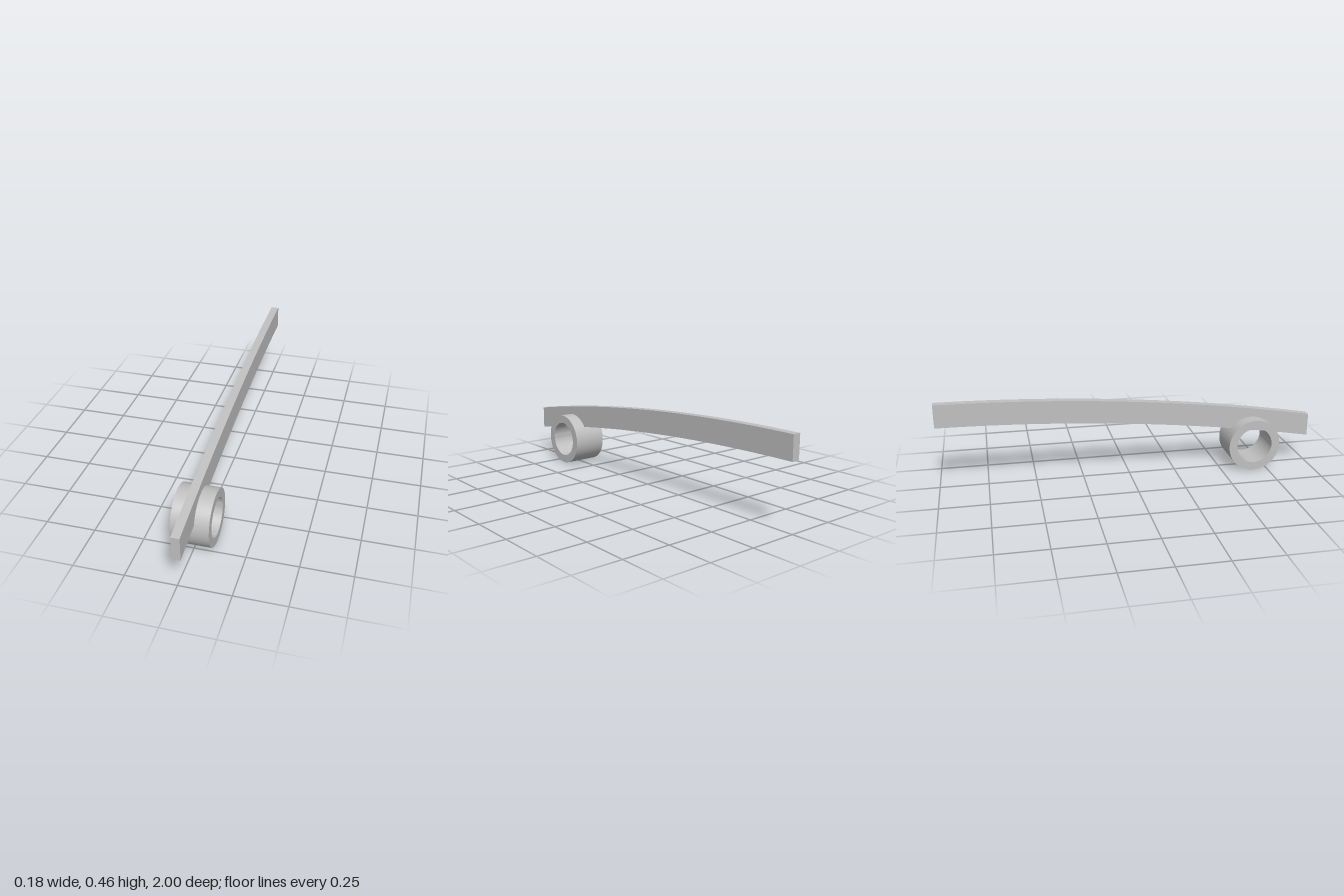
import * as THREE from 'three';
import { toCreasedNormals } from 'three/addons/utils/BufferGeometryUtils.js';

export function createModel() {
  const model = new THREE.Group();
  const grey = new THREE.MeshStandardMaterial({ color: 0xc0c0c0 });
  grey.name = 'plain grey';

  const add = (name, geometry) => {
    const mesh = new THREE.Mesh(toCreasedNormals(geometry, 0.5), grey);
    mesh.name = name;
    model.add(mesh);
    return mesh;
  };

  // Curved flat arm: level at the back, sloping down to the front
  const width = 0.042, height = 0.122, steps = 32;
  const top = z => 0.456 - 0.0455 * (z + 1) ** 2;
  const upper = [], lower = [];
  for (let i = 0; i <= steps; i++) {
    const z = -1 + (2 * i) / steps;
    upper.unshift(new THREE.Vector2(z, top(z)));
    lower.push(new THREE.Vector2(z, top(z) - height));
  }
  const arm = new THREE.ExtrudeGeometry(new THREE.Shape([...lower, ...upper]), {
    depth: width, bevelEnabled: false,
  });
  arm.rotateY(-Math.PI / 2).translate(width / 2, 0, 0);
  add('arm', arm);

  // Hollow sleeve crossing under the arm
  const outer = 0.141, inner = 0.097, half = 0.092;
  const profile = [[inner, -half], [outer, -half], [outer, half], [inner, half], [inner, -half]]
    .map(([r, y]) => new THREE.Vector2(r, y));
  const sleeve = new THREE.LatheGeometry(profile, 64).rotateZ(Math.PI / 2);
  add('sleeve', sleeve).position.set(0, outer, 0.672);

  return model;
}
